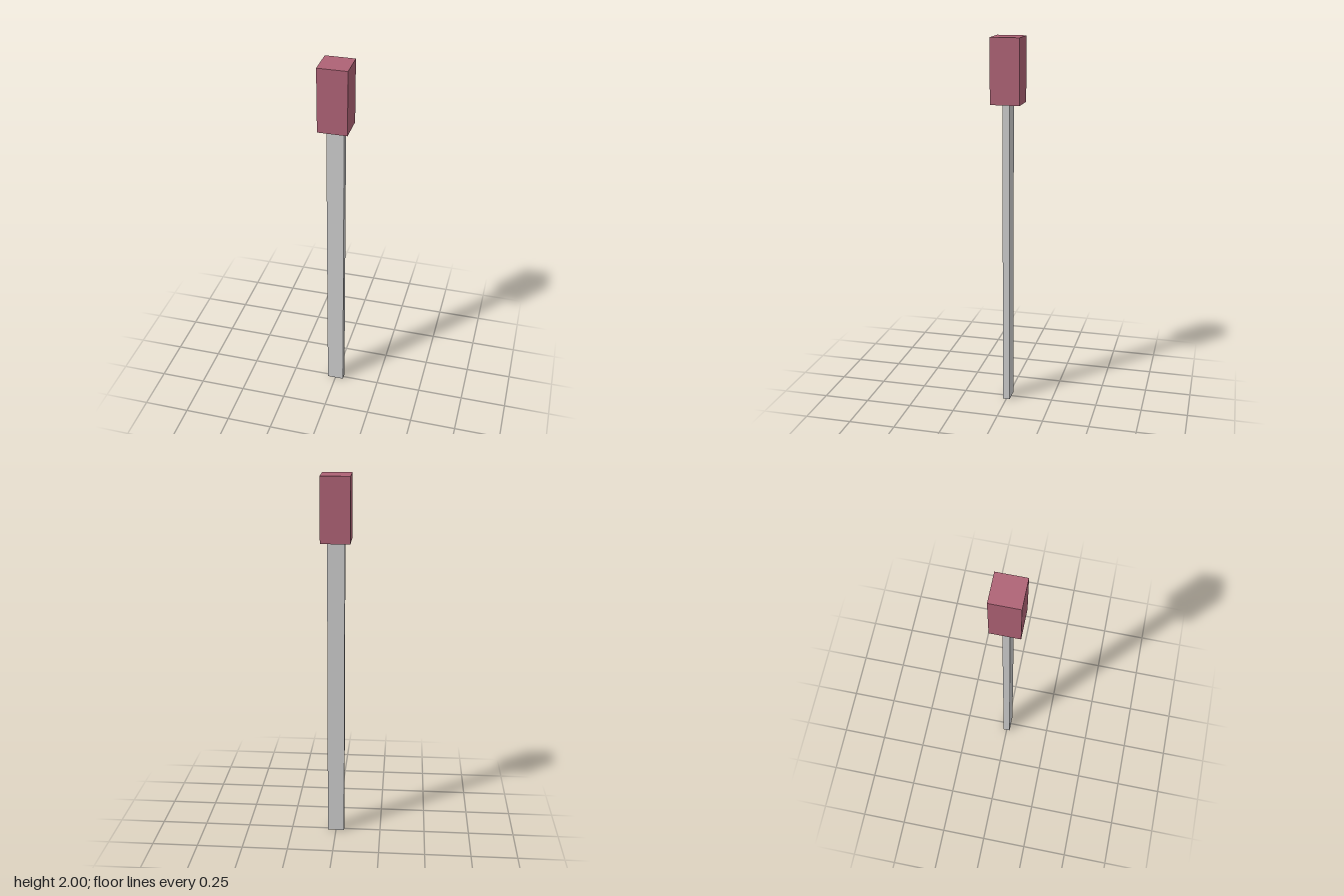
import * as THREE from 'three';

// Box standing on height y0 and reaching y1, centred on the y axis
function block(name, width, depth, y0, y1, color) {
  const mesh = new THREE.Mesh(
    new THREE.BoxGeometry(width, y1 - y0, depth),
    new THREE.MeshStandardMaterial({ color, flatShading: true })
  );
  mesh.name = name;
  mesh.position.y = (y0 + y1) / 2;
  return mesh;
}

export function createModel() {
  const group = new THREE.Group();
  group.name = 'matchstick';
  // Flat stick, running up to the underside of the head
  group.add(block('stick', 0.092, 0.038, 0, 1.66, 0xcccccc));
  // Square head
  group.add(block('head', 0.155, 0.155, 1.66, 2, 0xae6275));
  return group;
}
